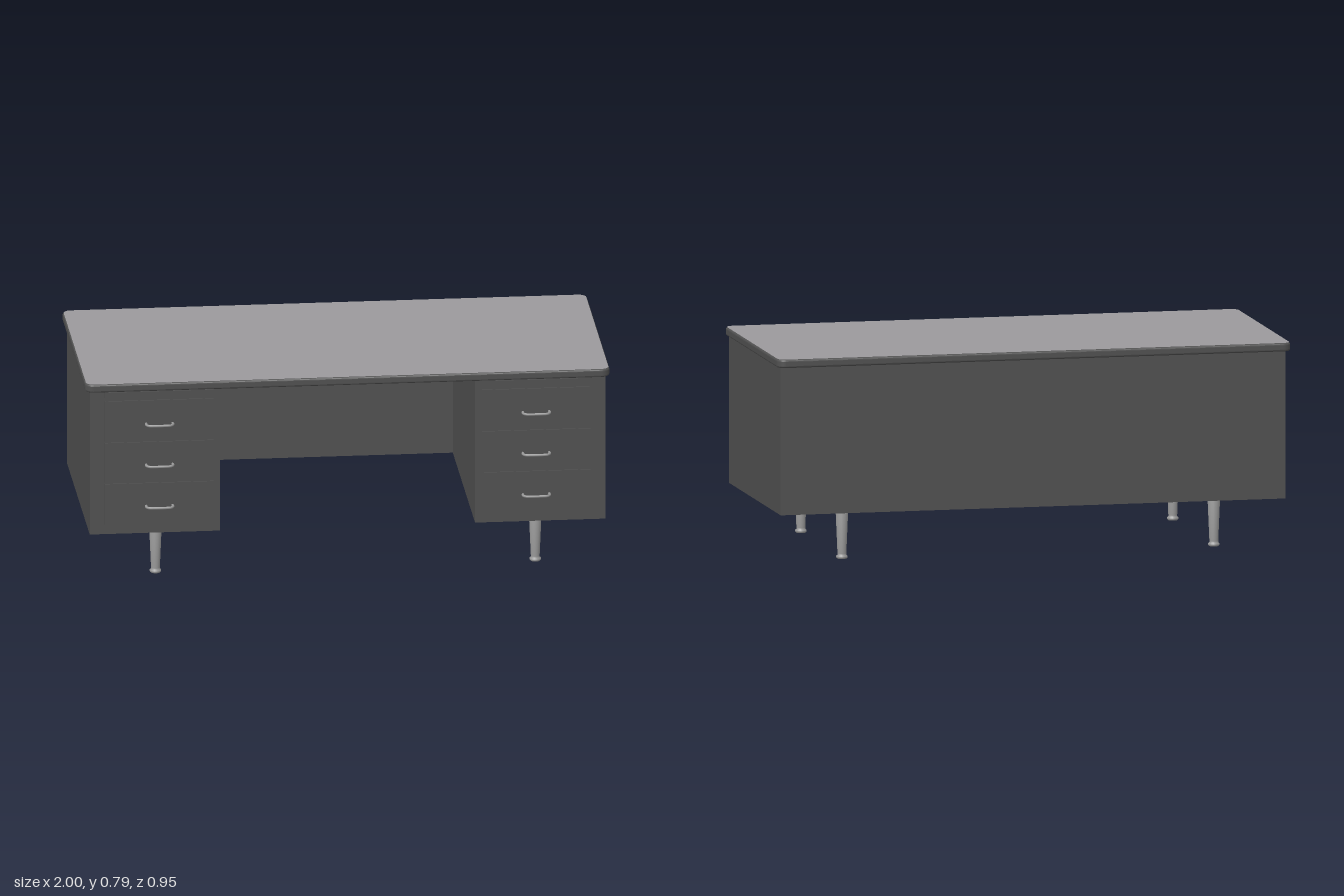
import * as THREE from 'three';

const mat = (name, color, side = THREE.FrontSide) => {
  const m = new THREE.MeshStandardMaterial({ color, side });
  m.name = name;
  return m;
};

export function createModel() {
  const desk = new THREE.Group();
  desk.name = 'desk';
  const paint = mat('dark grey paint', 0x515151);
  const laminate = mat('grey laminate', 0x9b999c);
  const metal = mat('brushed metal', 0x999999);

  const add = (name, geometry, material, x = 0, y = 0, z = 0, parent = desk) => {
    const mesh = new THREE.Mesh(geometry, material);
    mesh.name = name;
    mesh.position.set(x, y, z);
    parent.add(mesh);
    return mesh;
  };
  // Box given by its limits on each axis
  const box = (name, material, [x0, x1], [y0, y1], [z0, z1], parent) =>
    add(name, new THREE.BoxGeometry(x1 - x0, y1 - y0, z1 - z0), material,
      (x0 + x1) / 2, (y0 + y1) / 2, (z0 + z1) / 2, parent);

  // Rounded rectangle, centred on the origin
  const roundedRect = (w, d, r) => {
    const s = new THREE.Shape();
    s.absarc(w / 2 - r, d / 2 - r, r, 0, Math.PI / 2);
    s.absarc(-w / 2 + r, d / 2 - r, r, Math.PI / 2, Math.PI);
    s.absarc(-w / 2 + r, -d / 2 + r, r, Math.PI, Math.PI * 1.5);
    s.absarc(w / 2 - r, -d / 2 + r, r, Math.PI * 1.5, Math.PI * 2);
    s.closePath();
    return s;
  };

  // Desk top: dark rounded edge with a laminate surface
  const bevel = 0.008;
  const slab = new THREE.ExtrudeGeometry(roundedRect(2 - 2 * bevel, 0.916 - 2 * bevel, 0.025), {
    depth: 0.016, bevelEnabled: true, bevelThickness: bevel, bevelSize: bevel,
    bevelSegments: 4, curveSegments: 8,
  });
  slab.rotateX(-Math.PI / 2);
  add('topEdge', slab, paint, 0, 0.754 + bevel, -0.015);
  const surface = new THREE.ShapeGeometry(roundedRect(1.992, 0.908, 0.03), 8);
  surface.rotateX(-Math.PI / 2);
  add('topSurface', surface, laminate, 0, 0.787, -0.015);

  // Panel across the back of the knee space
  box('backPanel', paint, [-0.486, 0.486], [0.186, 0.756], [-0.44, -0.425]);

  // Shared leg and handle shapes
  const legProfile = [[0, 0], [0.018, 0], [0.022, 0.004], [0.022, 0.01], [0.017, 0.014],
    [0.017, 0.02], [0.024, 0.182], [0, 0.182]].map(([r, y]) => new THREE.Vector2(r, y));
  const legGeometry = new THREE.LatheGeometry(legProfile, 20);
  const handlePath = new THREE.CatmullRomCurve3([[-0.05, 0], [-0.051, 0.018], [-0.041, 0.032],
    [-0.02, 0.035], [0.02, 0.035], [0.041, 0.032], [0.051, 0.018], [0.05, 0]]
    .map(([x, z]) => new THREE.Vector3(x, 0, z)));
  const handleGeometry = new THREE.TubeGeometry(handlePath, 28, 0.005, 8);

  for (const side of [-1, 1]) {
    const pedestal = new THREE.Group();
    pedestal.name = side > 0 ? 'leftPedestal' : 'rightPedestal';
    desk.add(pedestal);
    const span = (a, b) => (side > 0 ? [a, b] : [-b, -a]);

    box('cabinet', paint, span(0.486, 0.983), [0.186, 0.756], [-0.44, 0.43], pedestal);
    box('slideBoard', paint, span(0.512, 0.926), [0.73, 0.752], [0.42, 0.437], pedestal);

    // Three drawers, each with a bow handle
    [[0.225, 0.386, 0.295], [0.392, 0.55, 0.46], [0.556, 0.716, 0.623]].forEach(([y0, y1, hy]) => {
      box('drawerFront', paint, span(0.512, 0.926), [y0, y1], [0.42, 0.435], pedestal);
      add('drawerHandle', handleGeometry, metal, side * 0.718, hy, 0.433, pedestal);
    });

    // Front and back legs with mounting plates
    for (const z of [0.343, -0.35]) {
      add('leg', legGeometry, metal, side * 0.724, 0, z, pedestal);
      add('legPlate', new THREE.BoxGeometry(0.11, 0.006, 0.094), metal,
        side * 0.724, 0.183, z, pedestal);
    }
  }
  return desk;
}
